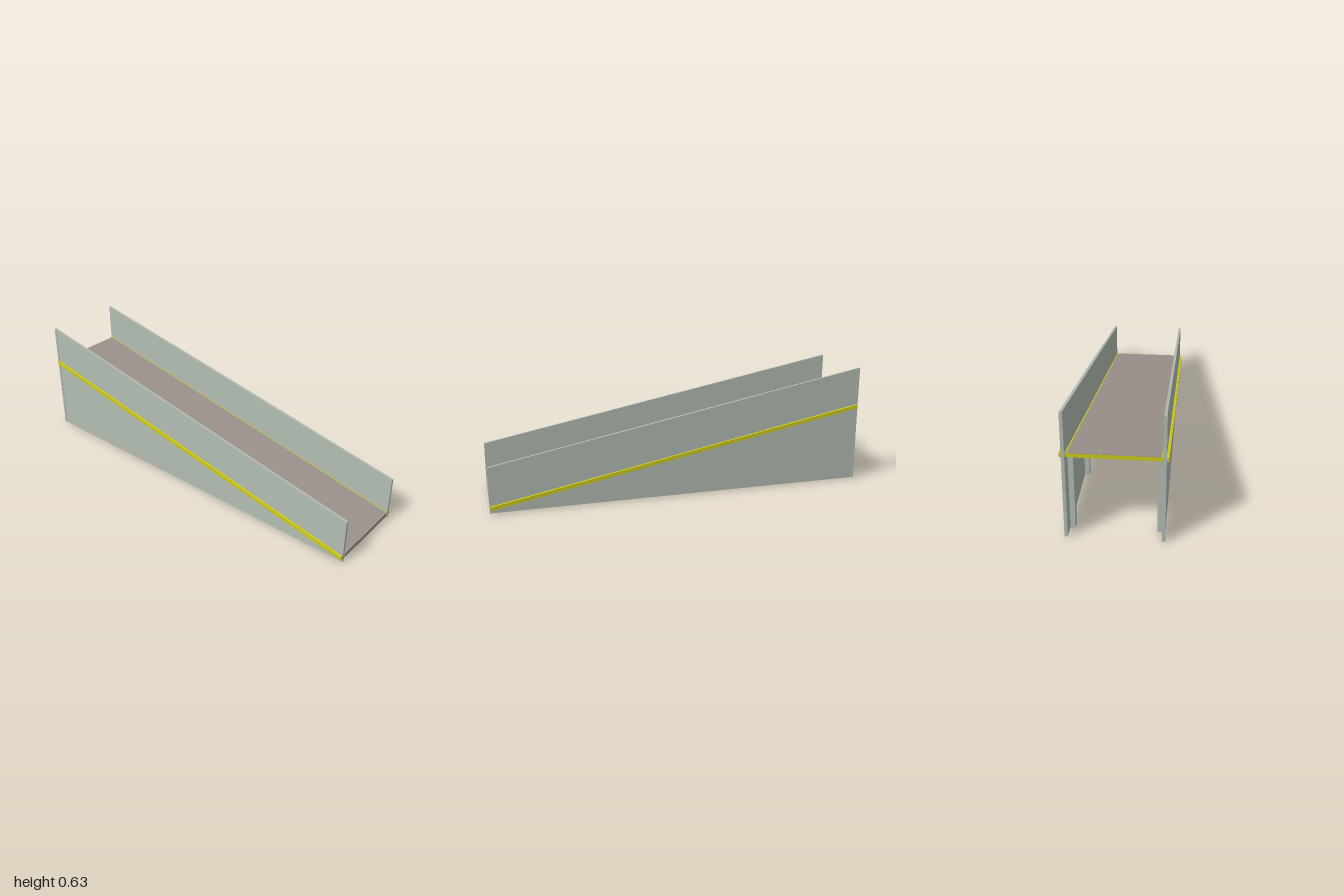
import * as THREE from 'three';

const material = (name, color) => Object.assign(new THREE.MeshStandardMaterial({ color }), { name });

// Prism with a side profile of [z, y] points, spanning x0..x1
function prism(points, x0, x1) {
  const shape = new THREE.Shape(points.map(([z, y]) => new THREE.Vector2(-z, y)));
  const geometry = new THREE.ExtrudeGeometry(shape, { depth: x1 - x0, bevelEnabled: false });
  geometry.rotateY(Math.PI / 2); // profile axis -> -z, depth -> +x
  return geometry.translate(x0, 0, 0);
}

export function createModel() {
  const wallPaint = material('pale grey green', 0xb3beb4);
  const yellow = material('yellow', 0xcfcb20);
  const brown = material('taupe', 0x9d938e);

  const group = new THREE.Group();
  group.name = 'ramp';
  const add = (name, geometry, mat) => {
    const mesh = new THREE.Mesh(geometry, mat);
    mesh.name = name;
    group.add(mesh);
    return mesh;
  };

  const SLOPE = 0.1955;
  const deckTop = z => 0.038 + (1 - z) * SLOPE;
  const wallTop = z => 0.24 + (1 - z) * 0.195;
  // Sloped strip between two height functions
  const strip = (z0, z1, low, high, x0, x1) =>
    prism([[z1, low(z1)], [z0, low(z0)], [z0, high(z0)], [z1, high(z1)]], x0, x1);

  // Sloping deck frame, its edges showing as rails outside the walls
  add('deckFrame', strip(-0.99, 0.998, z => deckTop(z) - 0.02, deckTop, -0.235, 0.235), yellow);

  // Walking surface and front lip
  add('deckSurface', strip(-0.99, 1, deckTop, z => deckTop(z) + 0.002, -0.202, 0.202), brown);
  add('frontLip', strip(0.998, 1, z => deckTop(z) - 0.02, deckTop, -0.202, 0.202), brown);

  for (const [side, s] of [['left', 1], ['right', -1]]) {
    const span = (a, b) => (s > 0 ? [a, b] : [-b, -a]);

    // Side wall and the upright closing its tall end
    add(side + 'Wall', strip(-0.987, 1, () => 0.003, wallTop, ...span(0.209, 0.222)), wallPaint);
    add(side + 'EndPost', strip(-1, -0.987, () => 0.003, wallTop, ...span(0.209, 0.224)), wallPaint);

    // Support posts under the deck
    for (const z of [-0.91, -0.47, 0.015, 0.33]) {
      const height = deckTop(z) - 0.012;
      const post = add(side + 'SupportPost', new THREE.BoxGeometry(0.026, height, 0.036), wallPaint);
      post.position.set(s * 0.198, height / 2, z);
    }
  }

  // Overlapping middle panel on the left wall
  add('leftPanel', strip(-0.45, 0.43, deckTop, wallTop, 0.222, 0.2235), wallPaint);

  return group;
}
